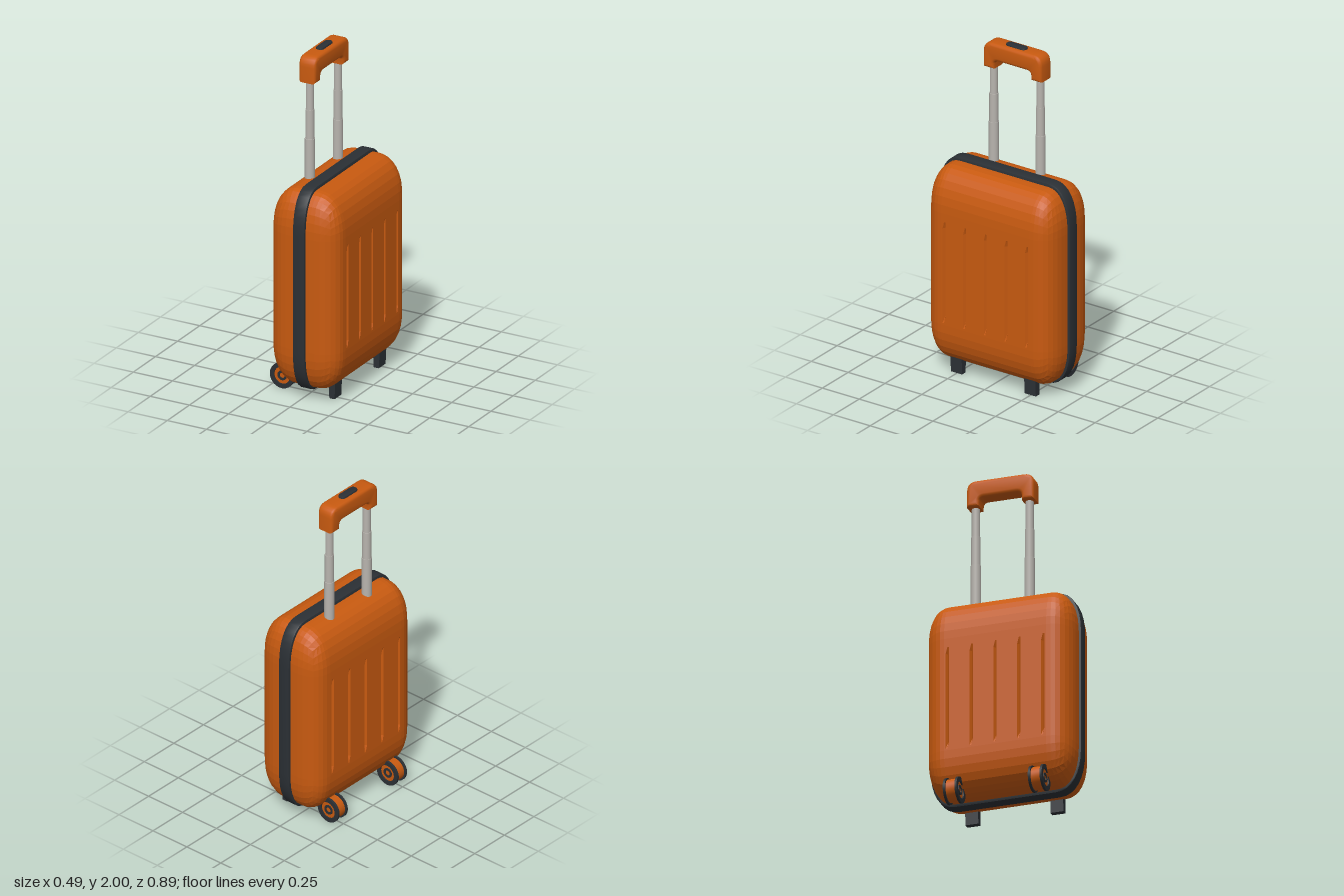
import * as THREE from 'three';
import { toCreasedNormals } from 'three/addons/utils/BufferGeometryUtils.js';

const mat = (color, flatShading = false) => new THREE.MeshStandardMaterial({ color, flatShading });
const ORANGE = 0xc85a10, DARK = 0x2b3035, METAL = 0xb8b4ae;

function add(parent, name, geometry, material, x = 0, y = 0, z = 0) {
  const mesh = new THREE.Mesh(geometry, material);
  mesh.name = name;
  mesh.position.set(x, y, z);
  parent.add(mesh);
  return mesh;
}

// Grid lines across one axis: dense in both rounded ends, plus given inner lines
function gridLines(half, radius, inner) {
  const end = [0, 1, 2, 3, 4].map(k => half - radius + radius * Math.tan(k * Math.PI / 16));
  return [...end.map(v => -v), ...inner, ...end].sort((a, b) => a - b);
}

// Pull a point of a box onto its rounded surface, with a radius per axis
function roundPoint(p, half, radius, power) {
  const c = [0, 1, 2].map(i => THREE.MathUtils.clamp(p[i], radius[i] - half[i], half[i] - radius[i]));
  const d = p.map((v, i) => (v - c[i]) / radius[i]);
  const len = Math.pow(d.reduce((s, v) => s + Math.pow(Math.abs(v), power), 0), 1 / power) || 1;
  return c.map((v, i) => v + radius[i] * d[i] / len);
}

// Hard shell: rounded box with vertical grooves pressed into both broad faces
function shellGeometry() {
  const half = [0.22, 0.592, 0.43], radius = [0.16, 0.25, 0.13];
  const grooves = [-0.28, -0.14, 0, 0.14, 0.28];
  const lines = [
    gridLines(half[0], radius[0], [0]),
    gridLines(half[1], radius[1], [-0.33, -0.29, 0, 0.25, 0.29]),
    gridLines(half[2], radius[2], grooves.flatMap(g => [g - 0.01, g, g + 0.01])),
  ];
  const n = lines.map(l => l.length - 1);
  const geo = new THREE.BoxGeometry(1, 1, 1, ...n);
  const pos = geo.attributes.position;
  for (let i = 0; i < pos.count; i++) {
    const p = [0, 1, 2].map(a => lines[a][Math.round((pos.getComponent(i, a) + 0.5) * n[a])]);
    const q = roundPoint(p, half, radius, 2.3);
    const onGroove = grooves.some(g => Math.abs(p[2] - g) < 1e-4);
    if (Math.abs(p[0]) > half[0] - 1e-4 && onGroove && p[1] > -0.31 && p[1] < 0.27) {
      q[0] -= Math.sign(q[0]) * 0.014;
    }
    pos.setXYZ(i, ...q);
  }
  geo.computeVertexNormals();
  return geo;
}

// Extrude a z-y outline along x, centred on the given depth
function extrudeAcross(shape, depth, bevel, bevelSegments = 3) {
  const geo = new THREE.ExtrudeGeometry(shape, {
    depth: depth - 2 * bevel, bevelSize: bevel, bevelThickness: bevel, bevelOffset: -bevel,
    bevelSegments, curveSegments: 6,
  });
  geo.translate(0, 0, bevel - depth / 2);
  geo.rotateY(Math.PI / 2);
  return toCreasedNormals(geo, 0.7);
}

// Closed outline of the zip band, with the same soft corners as the shell
function bandShape(hz, hy, rz, ry) {
  const points = [];
  for (const [sz, sy, flip] of [[1, 1, 0], [-1, 1, 1], [-1, -1, 0], [1, -1, 1]]) {
    for (let k = 0; k <= 8; k++) {
      const a = (flip ? 8 - k : k) * Math.PI / 16;
      points.push(new THREE.Vector2(
        sz * (hz - rz + rz * Math.pow(Math.max(0, Math.cos(a)), 2 / 2.3)),
        sy * (hy - ry + ry * Math.pow(Math.max(0, Math.sin(a)), 2 / 2.3))));
    }
  }
  return new THREE.Shape(points);
}

// Outline of the pull grip: a bar with two short legs
function gripShape() {
  const s = new THREE.Shape();
  s.moveTo(-0.197, 1.835);
  s.lineTo(-0.197, 1.93);
  s.quadraticCurveTo(-0.197, 1.99, -0.14, 1.99);
  s.lineTo(0.14, 1.99);
  s.quadraticCurveTo(0.197, 1.99, 0.197, 1.93);
  s.lineTo(0.197, 1.835);
  s.lineTo(0.125, 1.835);
  s.lineTo(0.125, 1.86);
  s.quadraticCurveTo(0.125, 1.888, 0.095, 1.888);
  s.lineTo(-0.095, 1.888);
  s.quadraticCurveTo(-0.125, 1.888, -0.125, 1.86);
  s.lineTo(-0.125, 1.835);
  s.closePath();
  return s;
}

// Cylinder or ring lying along z
function disc(outer, inner, width) {
  const w = width / 2;
  const profile = [[inner, -w], [outer, -w], [outer, w], [inner, w], [inner, -w]];
  const geo = new THREE.LatheGeometry(profile.map(p => new THREE.Vector2(...p)), 28);
  geo.rotateX(Math.PI / 2);
  return toCreasedNormals(geo, 0.6);
}

function createWheel() {
  const wheel = new THREE.Group();
  wheel.name = 'wheel';
  add(wheel, 'hub', disc(0.066, 0, 0.066), mat(ORANGE));
  for (const side of [-1, 1]) {
    add(wheel, 'tyre', disc(0.076, 0.05, 0.013), mat(DARK), 0, 0, side * 0.0345);
    add(wheel, 'hubRing', disc(0.029, 0.016, 0.01), mat(DARK), 0, 0, side * 0.033);
  }
  return wheel;
}

// Tapered foot, wider where it meets the shell
function footGeometry() {
  const geo = new THREE.BoxGeometry(0.044, 0.11, 0.076);
  const pos = geo.attributes.position;
  for (let i = 0; i < pos.count; i++) {
    if (pos.getY(i) < 0) pos.setX(i, pos.getX(i) * 0.75);
  }
  return geo;
}

export function createModel() {
  const model = new THREE.Group();
  model.name = 'suitcase';

  // Shell and zip band
  add(model, 'shell', shellGeometry(), mat(ORANGE, true), 0.023, 0.664, 0);
  add(model, 'zipBand', extrudeAcross(bandShape(0.444, 0.61, 0.15, 0.26), 0.076, 0.008, 2),
    mat(DARK), 0.022, 0.665, 0);

  // Telescopic pull handle
  const handle = new THREE.Group();
  handle.name = 'pullHandle';
  model.add(handle);
  for (const z of [-0.158, 0.158]) {
    for (const [r, y0, y1] of [[0.029, 1.15, 1.49], [0.026, 1.49, 1.665], [0.023, 1.665, 1.86]]) {
      add(handle, 'handleTube', new THREE.CylinderGeometry(r, r, y1 - y0, 20), mat(METAL),
        -0.066, (y0 + y1) / 2, z);
    }
  }
  add(handle, 'grip', extrudeAcross(gripShape(), 0.106, 0.018), mat(ORANGE), -0.065, 0, 0);

  // Release button on the grip
  const button = new THREE.Shape();
  button.absellipse(0, 0.044, 0.024, 0.024, 0, Math.PI);
  button.absellipse(0, -0.044, 0.024, 0.024, Math.PI, Math.PI * 2);
  const buttonGeo = new THREE.ExtrudeGeometry(button, {
    depth: 0.014, bevelSize: 0.006, bevelThickness: 0.006, bevelOffset: -0.006, bevelSegments: 2,
  });
  buttonGeo.rotateX(-Math.PI / 2);
  add(handle, 'releaseButton', toCreasedNormals(buttonGeo, 0.7), mat(DARK), -0.064, 1.98, 0);

  // Wheels on one side, feet on the other
  for (const z of [-0.25, 0.25]) {
    const wheel = createWheel();
    wheel.position.set(-0.171, 0.08, z);
    model.add(wheel);
    add(model, 'foot', footGeometry(), mat(DARK), 0.148, 0.062, z);
  }
  return model;
}
